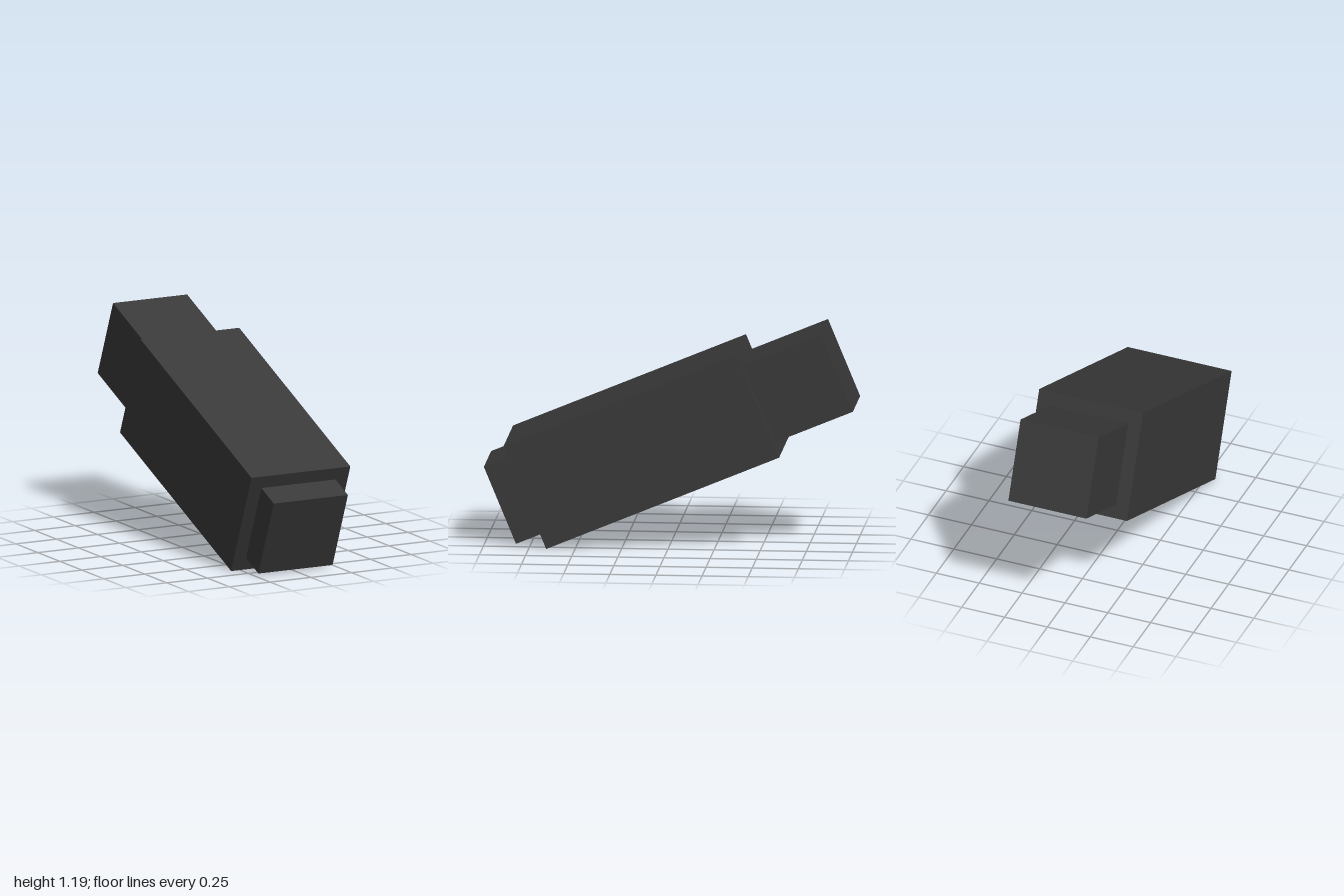
import * as THREE from 'three';

export function createModel() {
  const model = new THREE.Group();
  const darkGrey = new THREE.MeshStandardMaterial({ color: 0x383838 });
  darkGrey.name = 'dark grey';

  // Everything lies along one axis, tilted so the back end is raised
  const body = new THREE.Group();
  body.name = 'tiltedBody';
  body.position.set(0, 0.542, 0.14);
  body.rotation.x = Math.PI / 8;
  model.add(body);

  // Square block between two stations on the axis
  const block = (name, side, back, front) => {
    const mesh = new THREE.Mesh(new THREE.BoxGeometry(side, side, front - back), darkGrey);
    mesh.name = name;
    mesh.position.z = (front + back) / 2;
    body.add(mesh);
  };

  block('mainHousing', 0.606, -0.683, 0.683);
  block('innerCore', 0.455, -1.14, 0.836); // shows at both ends of the housing

  return model;
}
